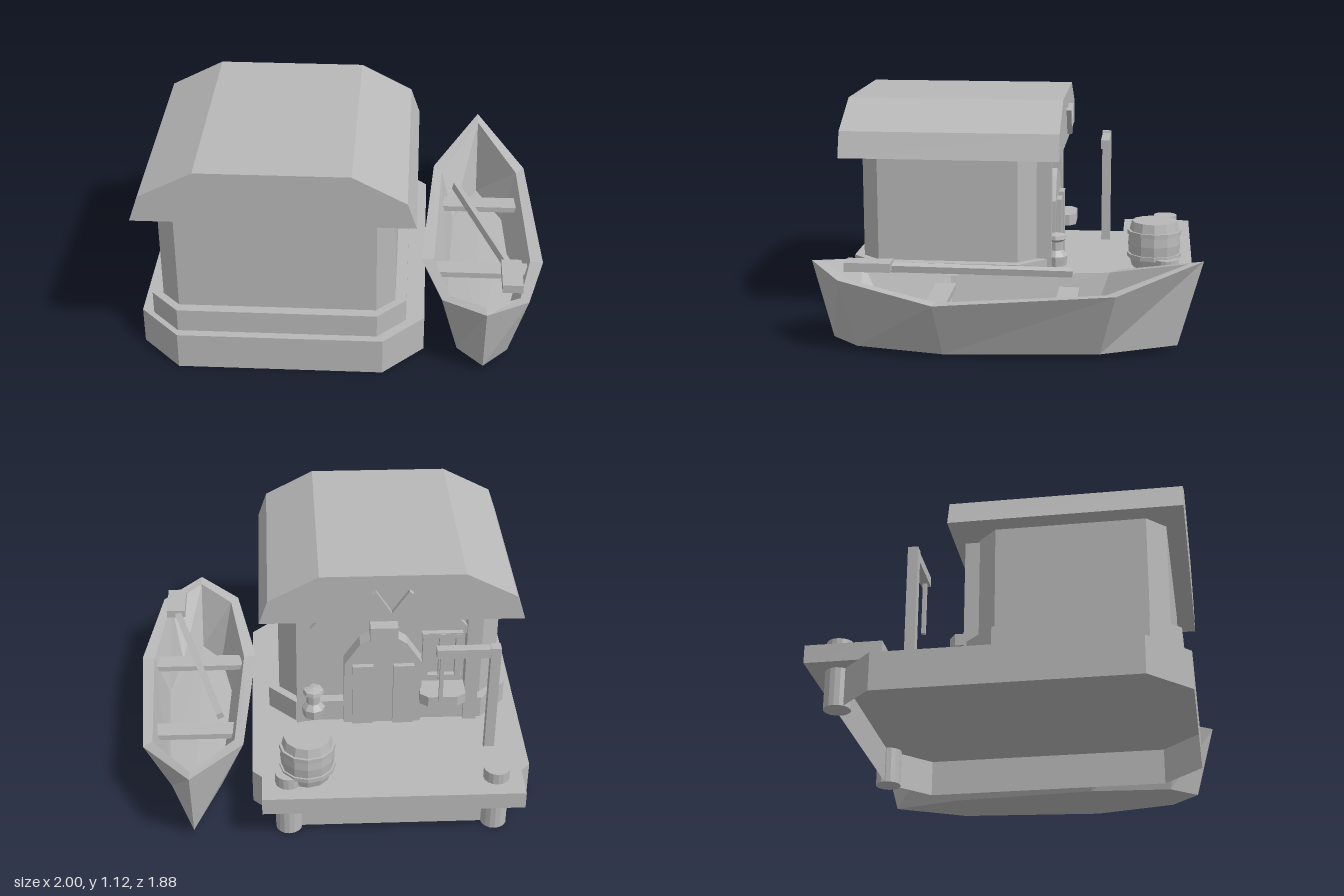
import * as THREE from 'three';

const grey = new THREE.MeshStandardMaterial({ color: 0xb8b8b8, flatShading: true, side: THREE.DoubleSide });
grey.name = 'plain grey';

function add(parent, name, geometry, x = 0, y = 0, z = 0) {
  const mesh = new THREE.Mesh(geometry, grey);
  mesh.name = name;
  mesh.position.set(x, y, z);
  parent.add(mesh);
  return mesh;
}

// Box given by its limits on each axis
function box(parent, name, x0, x1, y0, y1, z0, z1) {
  return add(parent, name, new THREE.BoxGeometry(x1 - x0, y1 - y0, z1 - z0),
    (x0 + x1) / 2, (y0 + y1) / 2, (z0 + z1) / 2);
}

// Square bar from one point to another
function bar(parent, name, from, to, width, depth) {
  const a = new THREE.Vector3(...from), b = new THREE.Vector3(...to);
  const mesh = add(parent, name, new THREE.BoxGeometry(width, a.distanceTo(b), depth));
  mesh.position.copy(a).lerp(b, 0.5);
  mesh.quaternion.setFromUnitVectors(new THREE.Vector3(0, 1, 0), b.sub(a).normalize());
  return mesh;
}

// Skin through equal rings of [x, y, z] points, with optional end caps
function loft(rings, capStart, capEnd) {
  const out = [], n = rings[0].length;
  const tri = (a, b, c) => out.push(...a, ...b, ...c);
  for (let r = 0; r + 1 < rings.length; r++) {
    const a = rings[r], b = rings[r + 1];
    for (let i = 0; i < n; i++) {
      const j = (i + 1) % n;
      tri(a[i], a[j], b[j]);
      tri(a[i], b[j], b[i]);
    }
  }
  const first = rings[0], last = rings[rings.length - 1];
  for (let i = 1; i + 1 < n; i++) {
    if (capStart) tri(first[0], first[i + 1], first[i]);
    if (capEnd) tri(last[0], last[i], last[i + 1]);
  }
  const g = new THREE.BufferGeometry();
  g.setAttribute('position', new THREE.Float32BufferAttribute(out, 3));
  g.computeVertexNormals();
  return g;
}

// Upright block with cut corners
function octagonBlock(x0, x1, z0, z1, cut, y0, y1, capStart) {
  const ring = y => [
    [x1 - cut, y, z1], [x1, y, z1 - cut], [x1, y, z0 + cut], [x1 - cut, y, z0],
    [x0 + cut, y, z0], [x0, y, z0 + cut], [x0, y, z1 - cut], [x0 + cut, y, z1],
  ];
  return loft([ring(y0), ring(y1)], capStart, true);
}

// Flat outline in x and y, given thickness along z
function plate(points, z0, z1) {
  const shape = new THREE.Shape(points.map(p => new THREE.Vector2(...p)));
  return new THREE.ExtrudeGeometry(shape, { depth: z1 - z0, bevelEnabled: false }).translate(0, 0, z0);
}

function lathe(points, sides) {
  return new THREE.LatheGeometry(points.map(p => new THREE.Vector2(...p)), sides);
}

function createHouse() {
  const house = new THREE.Group();
  house.name = 'house';
  add(house, 'foundation', octagonBlock(-1, 0.4, -0.77, 0.88, 0.2, 0, 0.19, false));
  add(house, 'plinth', octagonBlock(-0.94, 0.31, -0.16, 0.84, 0.14, 0.19, 0.31, false));
  add(house, 'walls', octagonBlock(-0.885, 0.255, -0.105, 0.79, 0.09, 0.31, 0.86, false));
  add(house, 'roof', plate([[-0.98, 0.85], [0.35, 0.85], [0.305, 0.98], [0.05, 1.115],
    [-0.675, 1.115], [-0.935, 0.98]], -0.23, 0.88));

  // Posts and braces under the rear eave
  for (const [x, side] of [[0.13, -1], [-0.74, 1]]) {
    box(house, 'porchPost', x - 0.035, x + 0.035, 0.19, 0.855, -0.18, -0.1);
    bar(house, 'porchBrace', [x, 0.7, -0.15], [x + side * 0.13, 0.85, -0.15], 0.03, 0.03);
  }

  // Arched double door with a plaque
  add(house, 'doorFrame', plate([[-0.48, 0.19], [-0.08, 0.19], [-0.08, 0.56], [-0.16, 0.68],
    [-0.22, 0.72], [-0.34, 0.72], [-0.4, 0.68], [-0.48, 0.56]], -0.185, -0.1));
  for (const x of [-0.175, -0.385]) {
    box(house, 'doorLeaf', x - 0.053, x + 0.053, 0.2, 0.56, -0.212, -0.18);
  }
  box(house, 'doorPlaque', -0.35, -0.21, 0.7, 0.79, -0.205, -0.1);

  // Window with bars and a planter below
  for (const x of [-0.67, -0.585, -0.5]) box(house, 'windowBar', x - 0.015, x + 0.015, 0.42, 0.7, -0.14, -0.1);
  for (const y of [0.43, 0.69]) box(house, 'windowRail', -0.69, -0.48, y - 0.015, y + 0.015, -0.135, -0.1);
  const planter = y => [[-0.47, y, -0.12], [-0.47, y, -0.235], [-0.51, y, -0.268],
    [-0.66, y, -0.268], [-0.705, y, -0.235], [-0.705, y, -0.12]];
  add(house, 'planter', loft([planter(0.34), planter(0.4)], true, true));

  // Crossed sticks on the rear gable
  for (const x of [-0.22, -0.405]) {
    bar(house, 'gableStick', [-0.31, 0.89, -0.243], [x, 1.03, -0.243], 0.025, 0.025);
  }

  add(house, 'lantern', lathe([[0, 0.26], [0.055, 0.26], [0.06, 0.31], [0.035, 0.34],
    [0.035, 0.385], [0.055, 0.4], [0.05, 0.42], [0, 0.43]], 8), 0.08, 0, -0.2);
  return house;
}

function createDeck() {
  const deck = new THREE.Group();
  deck.name = 'deck';
  box(deck, 'deckBoards', -0.93, 0.35, 0.19, 0.28, -0.9, -0.53);
  for (const x of [-0.8, 0.22]) {
    add(deck, 'piling', new THREE.CylinderGeometry(0.065, 0.065, 0.34, 16), x, 0.17, -0.765);
  }

  // Barrel with two hoops
  add(deck, 'barrel', lathe([[0, 0.28], [0.112, 0.28], [0.128, 0.34], [0.133, 0.4],
    [0.128, 0.46], [0.115, 0.515], [0, 0.515]], 12), 0.125, 0, -0.705);
  for (const y of [0.34, 0.458]) {
    add(deck, 'barrelHoop', new THREE.CylinderGeometry(0.138, 0.138, 0.022, 12), 0.125, y, -0.705);
  }

  // Post with an arm and a hanging line
  box(deck, 'armPost', -0.835, -0.785, 0.19, 0.82, -0.45, -0.4);
  box(deck, 'postArm', -0.785, -0.52, 0.765, 0.815, -0.448, -0.402);
  box(deck, 'hangingLine', -0.56, -0.54, 0.49, 0.765, -0.435, -0.415);
  return deck;
}

function createBoat() {
  const boat = new THREE.Group();
  boat.name = 'boat';
  boat.position.x = 0.69;

  // Half outlines run from stern to bow and are mirrored
  const ring = half => [...half, ...half.slice(1, -1).reverse().map(([x, y, z]) => [-x, y, z])];
  const keel = ring([[0, 0.03, 0.84], [0.125, 0.025, 0.7], [0.185, 0.015, 0.28], [0.13, 0.02, -0.46], [0, 0.035, -0.825]]);
  const rim = ring([[0, 0.41, 0.94], [0.21, 0.37, 0.77], [0.31, 0.285, 0.31], [0.25, 0.335, -0.535], [0, 0.45, -0.94]]);
  const lip = ring([[0, 0.405, 0.87], [0.17, 0.365, 0.73], [0.245, 0.285, 0.3], [0.205, 0.33, -0.49], [0, 0.435, -0.865]]);
  const floor = ring([[0, 0.08, 0.71], [0.11, 0.075, 0.58], [0.17, 0.07, 0.28], [0.135, 0.075, -0.4], [0, 0.08, -0.695]]);
  add(boat, 'hull', loft([keel, rim, lip, floor], true, true));

  box(boat, 'frontSeat', -0.245, 0.235, 0.22, 0.25, 0.27, 0.37);
  box(boat, 'rearSeat', -0.2, 0.205, 0.225, 0.255, -0.345, -0.245);

  // Oar resting across the boat
  bar(boat, 'oarShaft', [-0.13, 0.345, -0.31], [0.13, 0.42, 0.58], 0.035, 0.035);
  box(boat, 'oarBlade', 0.08, 0.18, 0.405, 0.448, 0.525, 0.745);
  return boat;
}

export function createModel() {
  const model = new THREE.Group();
  model.name = 'boathouse';
  model.add(createHouse(), createDeck(), createBoat());
  return model;
}
